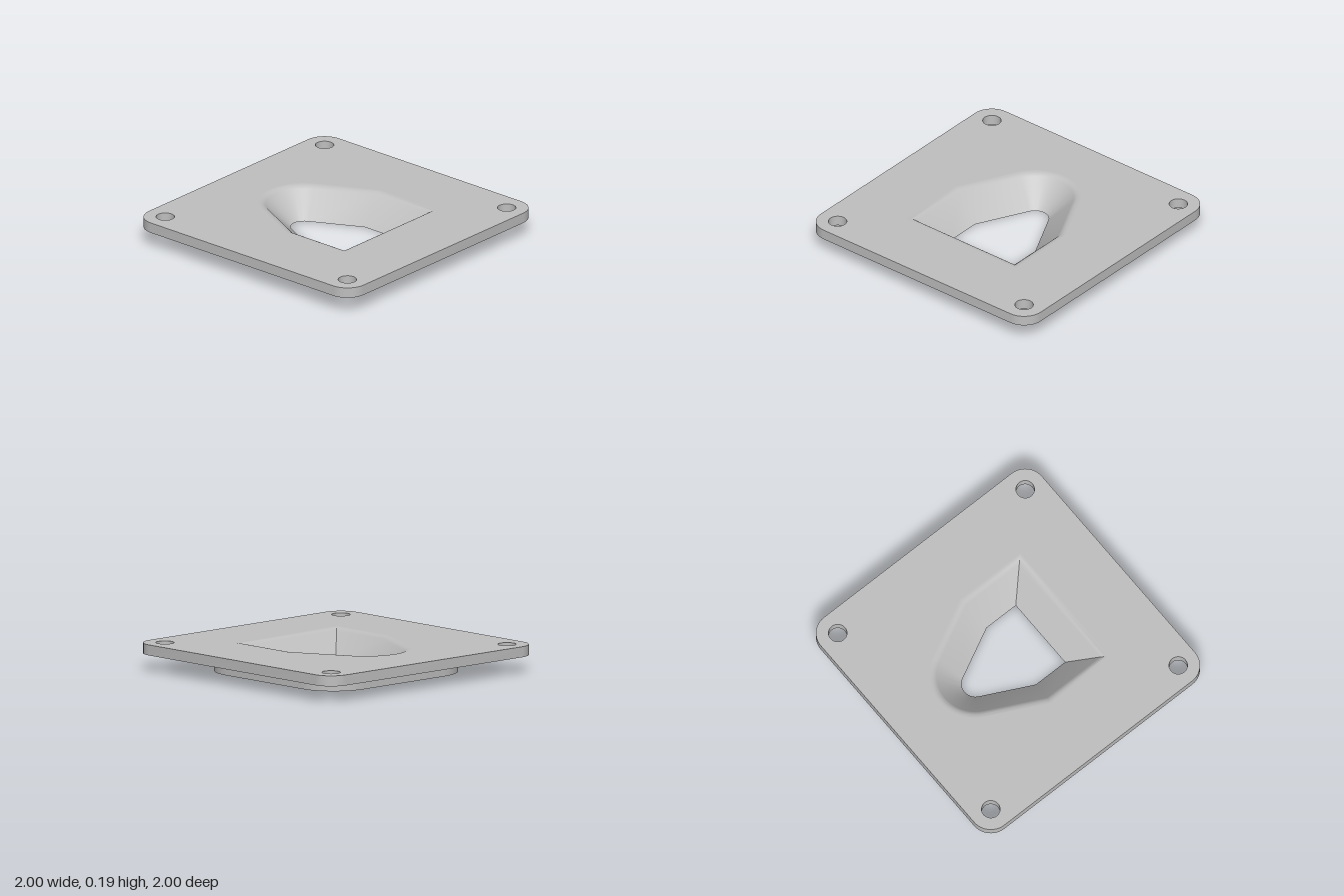
import * as THREE from 'three';
import { toCreasedNormals } from 'three/addons/utils/BufferGeometryUtils.js';

const TOP = 0.195;        // upper face of the flange
const STEP = 0.12;        // underside of the flange, top of the boss
const FILLET = 0.03;      // setback of the rounded funnel lip

// Points on an arc, counter-clockwise in plan (plan y points to the back)
function arc(cx, cy, r, from, to, n) {
  return Array.from({ length: n + 1 }, (_, i) => {
    const a = from + (to - from) * i / n;
    return new THREE.Vector2(cx + r * Math.cos(a), cy + r * Math.sin(a));
  });
}

function roundedSquare(half, r) {
  const c = half - r;
  return [[1, 1], [-1, 1], [-1, -1], [1, -1]].flatMap(([sx, sy], i) =>
    arc(sx * c, sy * c, r, i * Math.PI / 2, (i + 1) * Math.PI / 2, 12));
}

function circle(x, y, r) {
  return arc(x, y, r, 0, Math.PI * 2, 32).slice(0, -1);
}

// House-shaped opening with a rounded peak, offset outward by d
function opening(d) {
  const tilt = Math.atan(0.5);
  const w = 0.273 + d;
  const bend = -0.03 + d * Math.tan(tilt / 2);
  const front = -0.293 - d;
  return [
    new THREE.Vector2(-w, front), new THREE.Vector2(w, front), new THREE.Vector2(w, bend),
    ...arc(0, 0.296, 0.097 + d, tilt, Math.PI - tilt, 20),
    new THREE.Vector2(-w, bend),
  ];
}

// Wall through a stack of [outline, height]; bottom-to-top faces outward, top-to-bottom inward
function loft(rings) {
  const pos = [], index = [], n = rings[0][0].length;
  rings.forEach(([pts, y]) => pts.forEach(p => pos.push(p.x, y, -p.y)));
  for (let r = 0; r < rings.length - 1; r++) {
    for (let i = 0; i < n; i++) {
      const j = (i + 1) % n, a = r * n + i, b = r * n + j;
      index.push(a, b, b + n, a, b + n, a + n);
    }
  }
  const g = new THREE.BufferGeometry();
  g.setAttribute('position', new THREE.Float32BufferAttribute(pos, 3));
  g.setIndex(index);
  return toCreasedNormals(g, 0.5);
}

// Flat face at a height, facing up or down
function face(outline, holes, y, up) {
  const shape = new THREE.Shape(outline);
  shape.holes = holes.map(h => new THREE.Path(h));
  const g = new THREE.ShapeGeometry(shape);
  if (!up) {
    const ix = g.index.array;
    for (let i = 0; i < ix.length; i += 3) [ix[i], ix[i + 1]] = [ix[i + 1], ix[i]];
    g.computeVertexNormals();
  }
  return g.rotateX(-Math.PI / 2).translate(0, y, 0);
}

export function createModel() {
  const grey = new THREE.MeshStandardMaterial({ color: 0xbfbfbf });
  grey.name = 'plain grey';
  const model = new THREE.Group();
  model.name = 'funnelPlate';

  const part = (name, ...geometries) => {
    const group = new THREE.Group();
    group.name = name;
    geometries.forEach(g => {
      const mesh = new THREE.Mesh(g, grey);
      mesh.name = name + 'Surface';
      group.add(mesh);
    });
    model.add(group);
  };

  const plate = roundedSquare(1, 0.15);
  const boss = roundedSquare(0.693, 0.3);
  const bolts = [[1, 1], [-1, 1], [-1, -1], [1, -1]]
    .map(([x, y]) => circle(x * 0.848, y * 0.848, 0.065));

  // Flange plate
  part('flange',
    face(plate, [...bolts, opening(TOP + FILLET)], TOP, true),
    face(plate, [...bolts, boss], STEP, false),
    loft([[plate, STEP], [plate, TOP]]));

  // Bolt hole walls
  part('boltHoles', ...bolts.map(b => loft([[b, TOP], [b, STEP]])));

  // Raised boss under the flange
  part('boss',
    face(boss, [opening(0)], 0, false),
    loft([[boss, 0], [boss, STEP]]));

  // Funnel: rounded lip, then a 45 degree wall down to the opening
  const R = FILLET / Math.tan(Math.PI / 8);
  const lip = arc(TOP + FILLET, TOP - R, R, Math.PI / 2, Math.PI * 0.75, 6);
  part('funnel', loft([...lip.map(p => [opening(p.x), p.y]), [opening(0), 0]]));

  return model;
}
